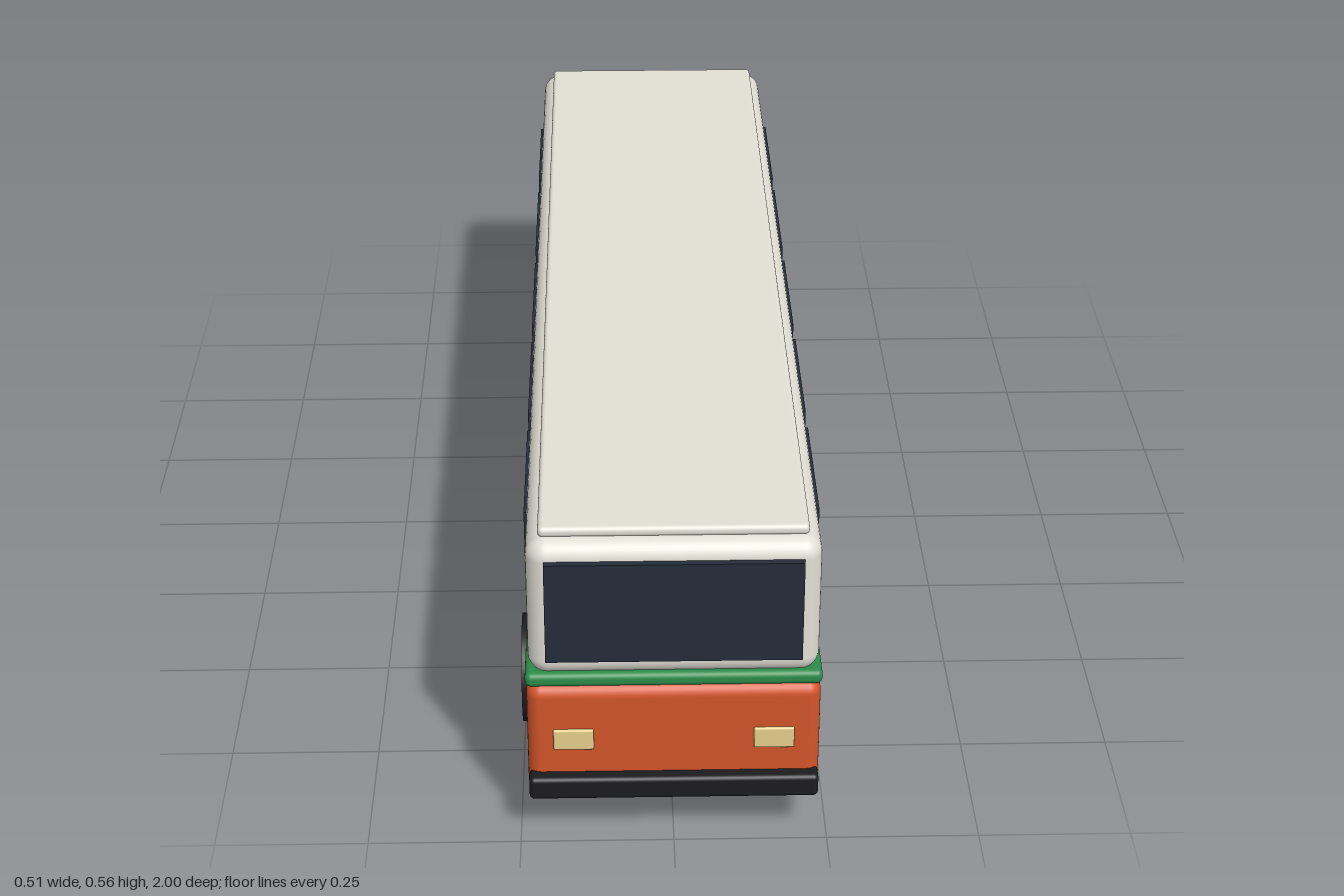
import * as THREE from 'three';
import { RoundedBoxGeometry } from 'three/addons/geometries/RoundedBoxGeometry.js';

const paint = (color) => new THREE.MeshStandardMaterial({ color });

export function createModel() {
  const bus = new THREE.Group();
  bus.name = 'bus';
  const orange = paint(0xd4552a), cream = paint(0xe2dfd5), green = paint(0x2b8c4a);
  const glass = paint(0x242d3a), rubber = paint(0x1c1c1f), lamp = paint(0xe6d08c);

  // Box given by its extents on each axis, rounded when a radius is passed
  function block(name, mat, [x0, x1], [y0, y1], [z0, z1], radius = 0) {
    const size = [x1 - x0, y1 - y0, z1 - z0];
    const geo = radius
      ? new RoundedBoxGeometry(...size, 4, radius)
      : new THREE.BoxGeometry(...size);
    const mesh = new THREE.Mesh(geo, mat);
    mesh.position.set((x0 + x1) / 2, (y0 + y1) / 2, (z0 + z1) / 2);
    mesh.name = name;
    bus.add(mesh);
  }

  // Body shells
  block('lowerBody', orange, [-0.236, 0.236], [0.075, 0.29], [-1, 0.978], 0.022);
  block('beltStripe', green, [-0.238, 0.238], [0.284, 0.309], [-0.992, 0.97], 0.01);
  block('upperBody', cream, [-0.233, 0.233], [0.299, 0.548], [-0.987, 0.965], 0.032);
  block('roofPanel', cream, [-0.213, 0.213], [0.545, 0.563], [-0.96, 0.937], 0.008);

  // Front details
  block('windshield', glass, [-0.204, 0.204], [0.338, 0.519], [0.94, 0.976]);
  block('frontBumper', rubber, [-0.234, 0.234], [0.085, 0.126], [0.965, 1], 0.008);

  for (const side of [-1, 1]) {
    const span = (a, b) => (side > 0 ? [a, b] : [-b, -a]);
    block('headlight', lamp, span(0.129, 0.194), [0.172, 0.21], [0.96, 0.983], 0.003);

    // Side windows
    for (let i = 0; i < 5; i++) {
      const z = 0.675 - i * 0.323;
      block('sideWindow', glass, span(0.22, 0.238), [0.355, 0.514], [z - 0.133, z + 0.133]);
    }

    // Wheels
    for (const z of [0.637, -0.6]) {
      const wheel = new THREE.Mesh(new THREE.CylinderGeometry(0.094, 0.094, 0.06, 32), rubber);
      wheel.rotation.z = Math.PI / 2;
      wheel.position.set(side * 0.223, 0.096, z);
      wheel.name = 'wheel';
      bus.add(wheel);
    }
  }

  // One door per side, at opposite ends
  block('frontDoor', glass, [0.22, 0.24], [0.12, 0.457], [0.685, 0.855]);
  block('rearDoor', glass, [-0.24, -0.22], [0.12, 0.457], [-0.835, -0.665]);

  return bus;
}
